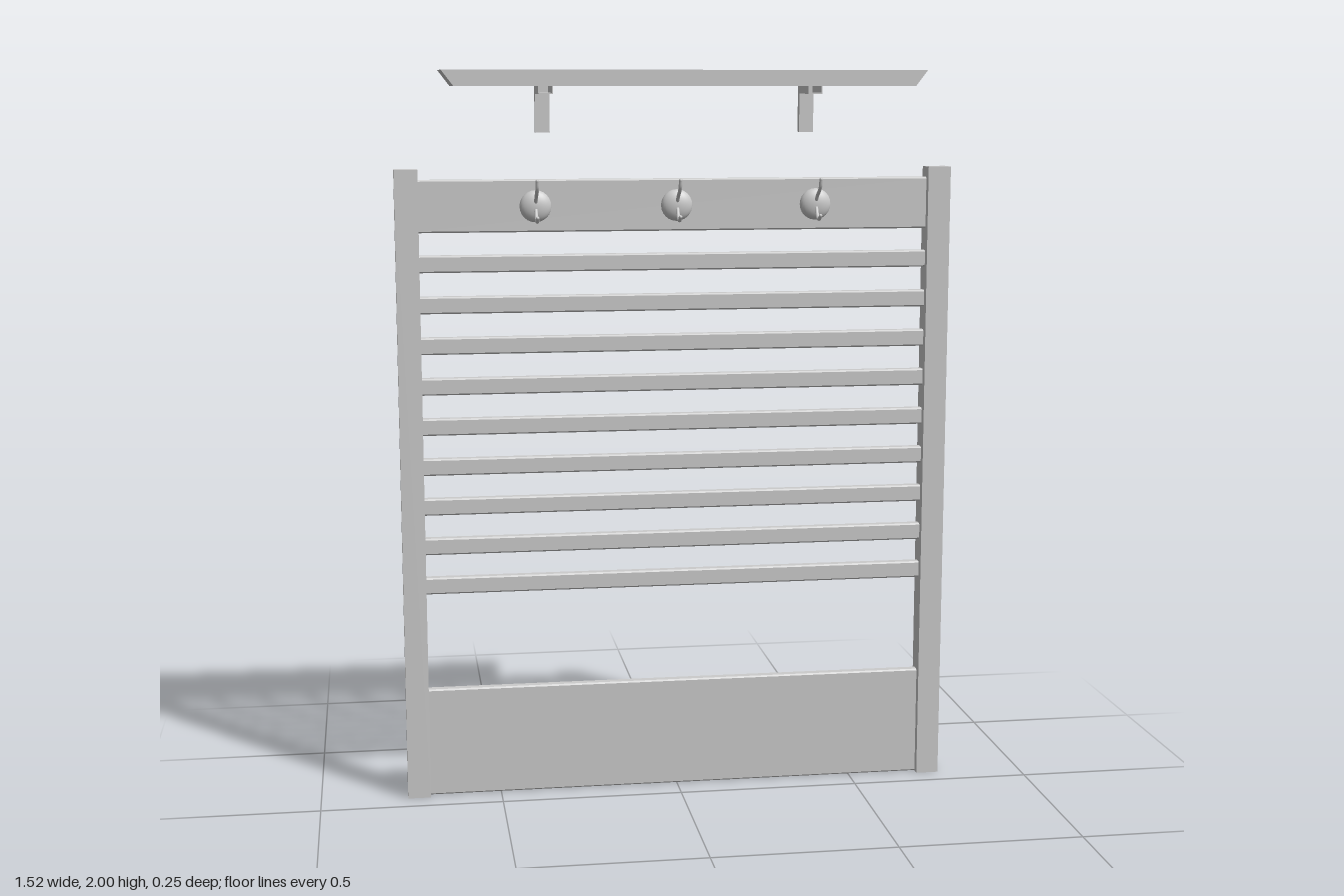
import * as THREE from 'three';

const material = new THREE.MeshStandardMaterial({ color: 0xcccccc, side: THREE.DoubleSide, flatShading: true });
const smooth = new THREE.MeshStandardMaterial({ color: 0xcccccc, side: THREE.DoubleSide });

function add(parent, name, geometry, x = 0, y = 0, z = 0, mat = material) {
  const mesh = new THREE.Mesh(geometry, mat);
  mesh.name = name;
  mesh.position.set(x, y, z);
  parent.add(mesh);
  return mesh;
}

// Folded sheet channel: front plate at y = 0, flanges reach y = -depth, length centred on z
function channel(width, depth, length, bend = 0, t = 0.003) {
  const w = width / 2;
  const s = new THREE.Shape();
  s.moveTo(-w, -depth);
  s.lineTo(-w, -bend);
  if (bend) s.lineTo(-w + bend, 0);
  s.lineTo(w - bend, 0);
  if (bend) s.lineTo(w, -bend);
  s.lineTo(w, -depth);
  s.lineTo(w - t, -depth);
  s.lineTo(w - t, -t - bend);
  if (bend) s.lineTo(w - t - bend, -t);
  s.lineTo(-w + t + bend, -t);
  if (bend) s.lineTo(-w + t, -t - bend);
  s.lineTo(-w + t, -depth);
  s.closePath();
  return new THREE.ExtrudeGeometry(s, { depth: length, bevelEnabled: false }).translate(0, 0, -length / 2);
}
const upright = (w, d, l) => channel(w, d, l).rotateX(Math.PI / 2);
const crossbar = (w, d, l) => channel(w, d, l, 0.004).rotateX(Math.PI / 2).rotateZ(Math.PI / 2);

// Shelf tray with sloping ends, a closed front and an open back
function shelfGeometry() {
  const ring = [[-0.638, 2], [0.638, 2], [0.606, 1.958], [-0.606, 1.958]];
  const points = [];
  for (const z of [0.127, -0.127]) for (const [x, y] of ring) points.push(x, y, z);
  const index = [0, 2, 1, 0, 3, 2];
  for (let i = 0; i < 4; i++) {
    const j = (i + 1) % 4;
    index.push(i, j, j + 4, i, j + 4, i + 4);
  }
  const g = new THREE.BufferGeometry();
  g.setAttribute('position', new THREE.Float32BufferAttribute(points, 3));
  g.setIndex(index);
  const flat = g.toNonIndexed();
  flat.computeVertexNormals();
  return flat;
}

function wire(points) {
  const curve = new THREE.CatmullRomCurve3(points.map(([y, z]) => new THREE.Vector3(0, y, z)));
  return new THREE.TubeGeometry(curve, 16, 0.005, 8);
}

// Coat hook: shallow dome with an upper and a lower prong
function makeHook() {
  const hook = new THREE.Group();
  hook.name = 'coatHook';
  const dome = new THREE.SphereGeometry(0.043, 24, 8, 0, Math.PI * 2, 0, Math.PI / 2)
    .rotateX(Math.PI / 2).scale(1, 1, 0.5);
  add(hook, 'hookDome', dome, 0, 0, 0, smooth);
  const prongs = {
    upperProng: [[0.012, 0.018], [0.026, 0.032], [0.036, 0.05], [0.05, 0.068], [0.07, 0.075]],
    lowerProng: [[-0.008, 0.018], [-0.025, 0.028], [-0.037, 0.043], [-0.038, 0.056], [-0.028, 0.072]],
  };
  for (const [name, path] of Object.entries(prongs)) {
    add(hook, name, wire(path), 0, 0, 0, smooth);
    // Rounded prong tip
    const [y, z] = path[path.length - 1];
    add(hook, name + 'Tip', new THREE.SphereGeometry(0.005, 8, 6), 0, y, z, smooth);
  }
  return hook;
}

export function createModel() {
  const model = new THREE.Group();
  model.name = 'coatRack';
  const span = 1.398;
  const front = -0.085;

  // Side posts, open at the back, with a cap on top
  for (const [side, x] of [['left', 0.729], ['right', -0.729]]) {
    const post = new THREE.Group();
    post.name = side + 'Post';
    add(post, 'postChannel', upright(0.063, 0.062, 1.737), x, 1.737 / 2, -0.064);
    add(post, 'postCap', new THREE.BoxGeometry(0.063, 0.003, 0.062), x, 1.7385, -0.095);
    model.add(post);
  }

  // Top and bottom panels
  add(model, 'topPanel', crossbar(0.141, 0.025, span), 0, 1.641, front);
  add(model, 'bottomPanel', crossbar(0.305, 0.025, span), 0, 0.1525, front);

  // Slats
  const slat = crossbar(0.046, 0.025, span);
  for (let i = 0; i < 9; i++) add(model, 'slat', slat, 0, 0.6 + i * 0.1108, front);

  // Coat hooks
  for (const x of [-0.384, 0, 0.384]) {
    const hook = makeHook();
    hook.position.set(x, 1.64, front);
    model.add(hook);
  }

  // Shelf and its brackets
  add(model, 'shelf', shelfGeometry());
  for (const x of [-0.361, 0.361]) {
    const bracket = new THREE.Group();
    bracket.name = 'shelfBracket';
    add(bracket, 'bracketUpright', upright(0.039, 0.021, 0.123), x, 1.8965, -0.105);
    add(bracket, 'bracketArm', channel(0.039, 0.02, 0.135).rotateZ(Math.PI), x, 1.938, -0.0575);
    model.add(bracket);
  }
  return model;
}
